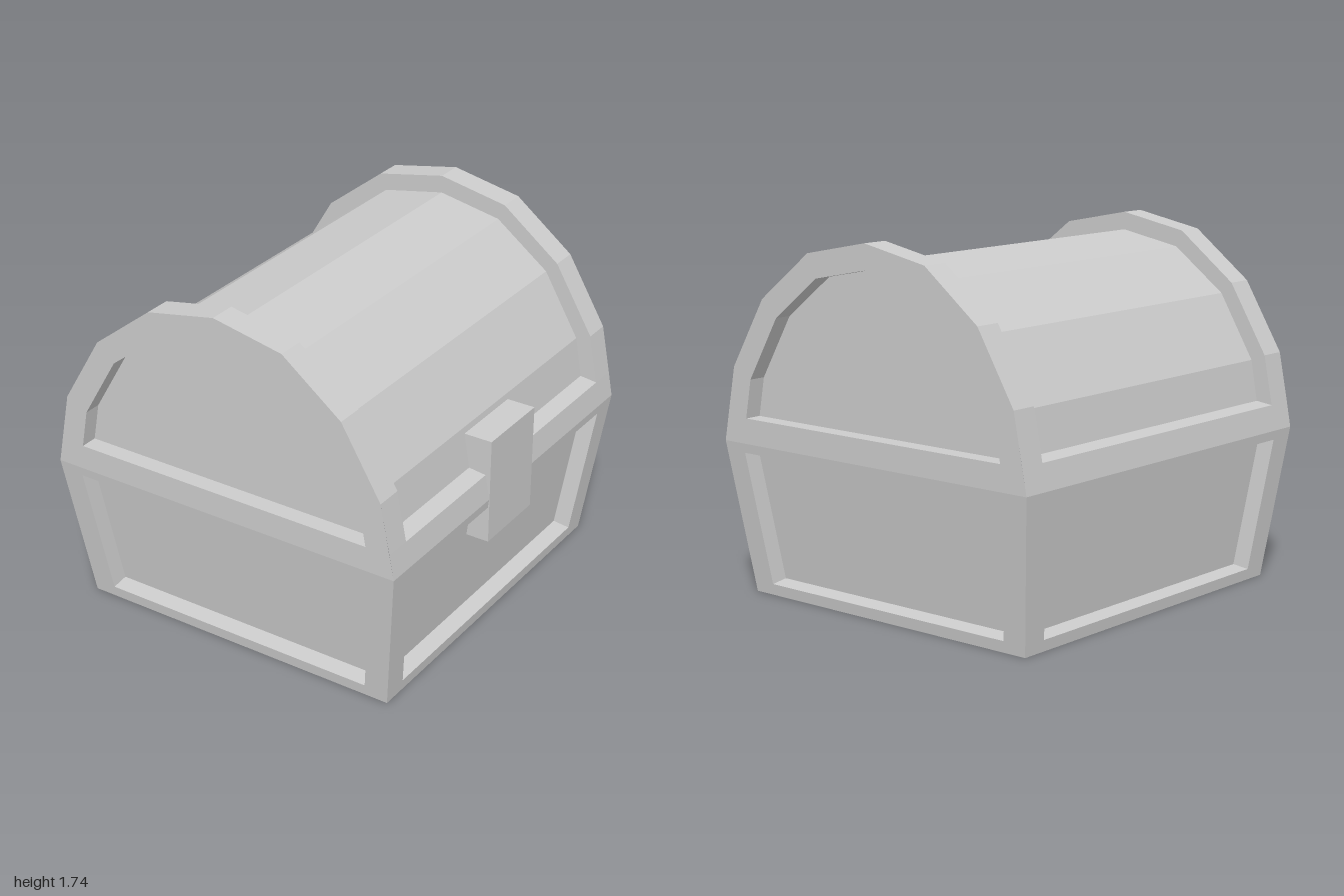
import * as THREE from 'three';

const material = new THREE.MeshStandardMaterial({ color: 0xcccccc, flatShading: true });
const DEPTH = 0.085; // how far every panel is sunk into its frame
const SEAM = 0.74; // height where body and lid meet

// Joins successive rings of points with strips; optionally closes each ring and caps the last one.
function loft(name, rings, closed) {
  const pos = [];
  const tri = (a, b, c) => pos.push(...a, ...b, ...c);
  const same = (a, b) => a.every((v, k) => Math.abs(v - b[k]) < 1e-6);
  for (let r = 0; r < rings.length - 1; r++) {
    const a = rings[r], b = rings[r + 1], n = a.length;
    for (let i = 0; i < (closed ? n : n - 1); i++) {
      const j = (i + 1) % n;
      if (!same(a[i], a[j])) tri(a[i], a[j], b[j]);
      if (!same(b[i], b[j]) && !same(a[i], b[i])) tri(a[i], b[j], b[i]);
      else if (!same(b[i], b[j]) && same(a[i], a[j])) tri(a[i], b[j], b[i]);
    }
  }
  if (closed) {
    const last = rings[rings.length - 1];
    for (let i = 1; i < last.length - 1; i++) tri(last[0], last[i], last[i + 1]);
  }
  const geo = new THREE.BufferGeometry();
  geo.setAttribute('position', new THREE.Float32BufferAttribute(pos, 3));
  geo.computeVertexNormals();
  const mesh = new THREE.Mesh(geo, material);
  mesh.name = name;
  return mesh;
}

// Frame from outer to inner loop, with the inner loop pushed back by offset as a sunken panel.
const sunkenPanel = (name, outer, inner, offset) =>
  loft(name, [outer, inner, inner.map((p) => p.map((v, k) => v + offset[k]))], true);

// Sloping body wall, facing +z before it is turned.
function bodyWall(name, bottom, top, zBottom, zTop, innerBottom, innerTop, turn) {
  const slope = (zTop - zBottom) / SEAM;
  const trapezoid = (hb, yb, ht, yt) =>
    [[-hb, yb], [hb, yb], [ht, yt], [-ht, yt]].map(([x, y]) => [x, y, zBottom + slope * y]);
  const k = DEPTH / Math.hypot(1, slope);
  const mesh = sunkenPanel(name, trapezoid(bottom, 0, top, SEAM),
    trapezoid(innerBottom, 0.055, innerTop, 0.695), [0, k * slope, -k]);
  mesh.rotation.y = turn;
  return mesh;
}

// Right half of an arch (last point on the axis) mirrored into a full one.
const arch = (half) => [...half, ...half.slice(0, -1).reverse().map(([x, y]) => [-x, y])];
const atZ = (profile, z) => profile.map(([x, y]) => [x, y, z]);

export function createModel() {
  const chest = new THREE.Group();
  chest.name = 'chest';

  // Body: four sloping framed walls and a framed underside
  const body = new THREE.Group();
  body.name = 'body';
  for (const s of [0, 1]) {
    body.add(bodyWall(s ? 'backWall' : 'frontWall', 0.835, 0.925, 0.9, 1, 0.72, 0.8, s * Math.PI));
    body.add(bodyWall(s ? 'rightWall' : 'leftWall', 0.9, 1, 0.835, 0.925, 0.78, 0.865,
      Math.PI / 2 + s * Math.PI));
  }
  const rect = (x, z) => [[-x, 0, -z], [x, 0, -z], [x, 0, z], [-x, 0, z]];
  body.add(sunkenPanel('underside', rect(0.835, 0.9), rect(0.715, 0.78), [0, DEPTH, 0]));
  chest.add(body);

  // Lid: rims at both ends, with the faceted barrel sunk between them
  const lid = new THREE.Group();
  lid.name = 'lid';
  const crown = [[0.855, 1.1], [0.655, 1.435], [0.355, 1.668], [0, 1.738]];
  const sill = [[0.925, SEAM], [0.902, 0.862]];
  const rim = arch([...sill, sill[1], ...crown]);
  const barrel = arch([...sill, [0.815, 0.873], [0.78, 1.07], [0.597, 1.38], [0.322, 1.588], [0, 1.65]]);
  lid.add(loft('lidBarrel', [
    atZ(rim, -1), atZ(rim, -0.868), atZ(barrel, -0.868),
    atZ(barrel, 0.868), atZ(rim, 0.868), atZ(rim, 1),
  ], false));

  // Lid ends: arched frames with sunken panels
  const outer = atZ(arch([sill[0], ...crown]), 1);
  const inner = atZ(arch([[0.78, 0.862], [0.745, 1.05], [0.565, 1.355], [0.303, 1.558], [0, 1.618]]), 1);
  for (const s of [0, 1]) {
    const end = sunkenPanel(s ? 'lidBackEnd' : 'lidFrontEnd', outer, inner, [0, 0, -DEPTH]);
    end.rotation.y = s * Math.PI;
    lid.add(end);
  }
  chest.add(lid);

  // Latch block bridging lid and body
  const latch = new THREE.Mesh(new THREE.BoxGeometry(0.147, 0.525, 0.39), material);
  latch.name = 'latch';
  latch.position.set(0.8535, 0.778, 0);
  chest.add(latch);

  return chest;
}
